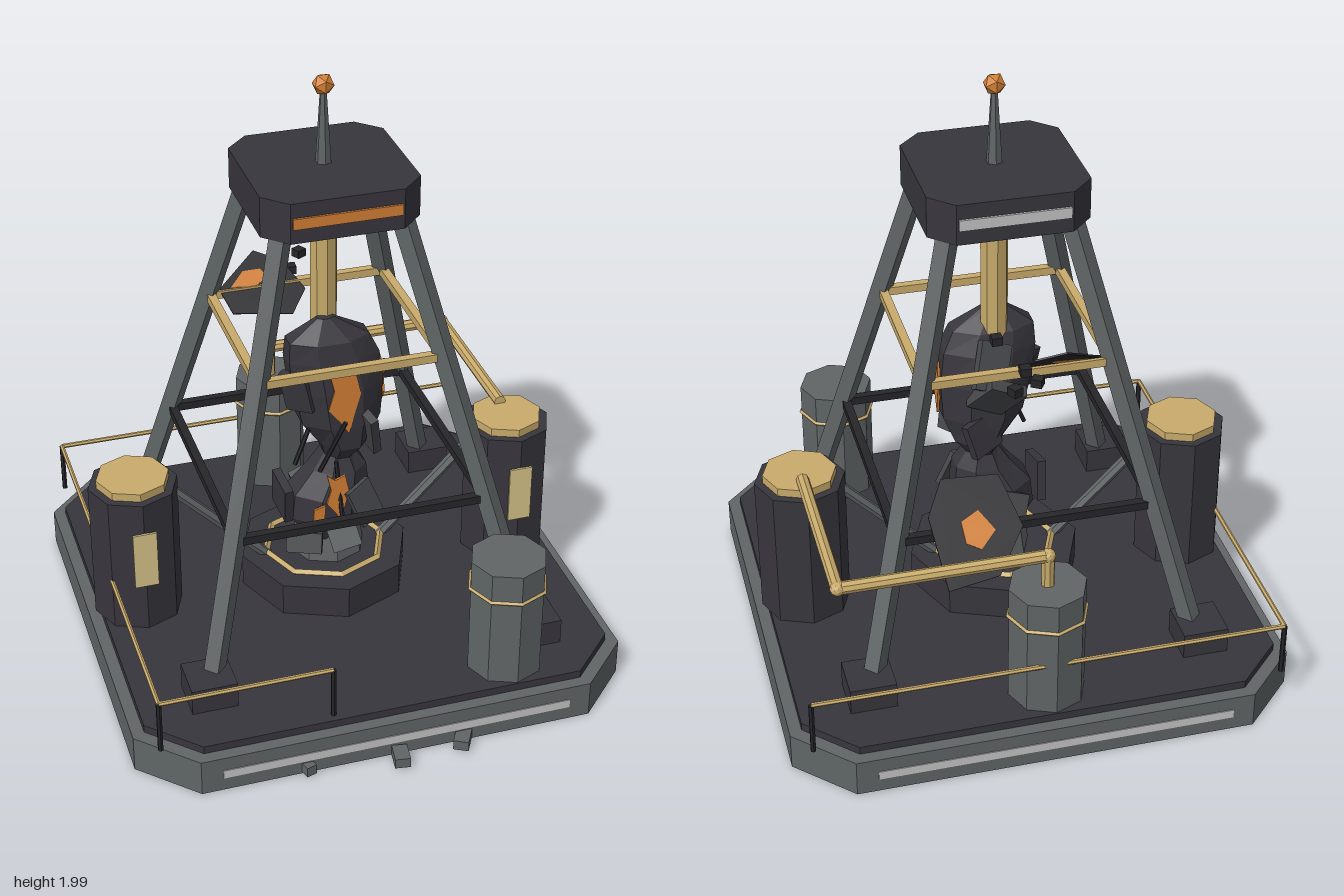
import * as THREE from 'three';

const mat = (name, color) => {
  const m = new THREE.MeshStandardMaterial({ color });
  m.name = name;
  return m;
};
const CZ = -0.04; // centre of the rig along z

export function createModel() {
  const root = new THREE.Group();
  root.name = 'ritualRig';
  const charcoal = mat('charcoal', 0x38363d);
  const black = mat('black', 0x26262a);
  const steel = mat('steel', 0x606566);
  const gold = mat('gold', 0xc9ab6b);
  const glass = mat('paleGold', 0xd6c288);
  const orange = mat('orange', 0xd27f35);
  const pale = mat('paleGrey', 0xc4c4c4);
  const shardGrey = mat('shardGrey', 0x47484b);

  // faceted mesh helper
  const add = (name, geo, material, x = 0, y = 0, z = 0) => {
    const g = geo.index ? geo.toNonIndexed() : geo;
    g.computeVertexNormals();
    const m = new THREE.Mesh(g, material);
    m.name = name;
    m.position.set(x, y, z);
    root.add(m);
    return m;
  };
  const box = (name, w, h, d, material, x, y, z) =>
    add(name, new THREE.BoxGeometry(w, h, d), material, x, y, z);
  const cyl = (name, rTop, rBottom, y0, y1, material, x, z, sides = 8) =>
    add(name, new THREE.CylinderGeometry(rTop, rBottom, y1 - y0, sides), material, x, (y0 + y1) / 2, z);
  // square beam between two points
  const beam = (name, a, b, t, material) => {
    const p = new THREE.Vector3(...a), q = new THREE.Vector3(...b);
    const m = box(name, t, t, p.distanceTo(q), material, ...p.clone().add(q).multiplyScalar(0.5).toArray());
    m.lookAt(q);
    return m;
  };
  // round rod between two points
  const rod = (name, a, b, r, material, sides = 6) => {
    const p = new THREE.Vector3(...a), q = new THREE.Vector3(...b);
    const m = add(name, new THREE.CylinderGeometry(r, r, p.distanceTo(q), sides), material);
    m.position.copy(p).add(q).multiplyScalar(0.5);
    m.quaternion.setFromUnitVectors(new THREE.Vector3(0, 1, 0), q.sub(p).normalize());
    return m;
  };
  const shape = (pts) => new THREE.Shape(pts.map(([x, y]) => new THREE.Vector2(x, y)));
  const plate = (name, pts, depth, material, x, y, z) =>
    add(name, new THREE.ExtrudeGeometry(shape(pts), { depth, bevelEnabled: false }), material, x, y, z);
  // square slab with cut corners
  const slab = (name, h, c, y0, y1, material) => {
    const k = h - c;
    const pts = [[h, -k], [h, k], [k, h], [-k, h], [-h, k], [-h, -k], [-k, -h], [k, -h]];
    plate(name, pts, y1 - y0, material, 0, y0, CZ).rotation.x = -Math.PI / 2;
  };

  // platform
  slab('base', 0.825, 0.175, 0, 0.125, steel);
  slab('deck', 0.785, 0.155, 0.125, 0.152, charcoal);
  box('baseStripFront', 1.16, 0.03, 0.006, pale, 0, 0.062, CZ + 0.825);
  box('baseStripBack', 1.16, 0.03, 0.006, pale, 0, 0.062, CZ - 0.825);
  [[-0.31, 0.035, 0.775, 0.3], [-0.01, 0.05, 0.825, -0.15], [0.205, 0.05, 0.805, -0.5]].forEach(([x, w, z, r]) => {
    box('rubble', w, 0.035, 0.07, steel, x, 0.022, z).rotation.y = r;
  });

  // four leaning legs on foot blocks
  for (const sx of [-1, 1]) for (const sz of [-1, 1]) {
    box('foot', 0.15, 0.09, 0.15, charcoal, sx * 0.55, 0.195, CZ + sz * 0.55);
    beam('leg', [sx * 0.535, 0.19, CZ + sz * 0.535], [sx * 0.19, 1.6, CZ + sz * 0.19], 0.052, steel);
  }

  // square bracing rings between the legs
  const braceRing = (name, h, y, t, material) => {
    for (const s of [-1, 1]) {
      beam(name, [-h, y, CZ + s * h], [h, y, CZ + s * h], t, material);
      beam(name, [s * h, y, CZ - h], [s * h, y, CZ + h], t, material);
    }
  };
  braceRing('upperBrace', 0.302, 1.125, 0.028, gold);
  braceRing('lowerBrace', 0.42, 0.64, 0.028, black);

  // head block, mast and beacon
  slab('headBlock', 0.257, 0.075, 1.57, 1.705, charcoal);
  box('headStripFront', 0.35, 0.036, 0.009, orange, 0, 1.638, CZ + 0.26);
  box('headStripBack', 0.35, 0.036, 0.009, pale, 0, 1.638, CZ - 0.26);
  cyl('mast', 0.011, 0.026, 1.7, 1.94, steel, 0, CZ, 6);
  add('beacon', new THREE.IcosahedronGeometry(0.036, 0), orange, 0, 1.964, CZ);
  cyl('piston', 0.045, 0.045, 1.08, 1.58, gold, 0, CZ, 8);

  // side tanks with gold lids, sight plates and struts
  for (const s of [-1, 1]) {
    cyl('sideTank', 0.15, 0.15, 0.15, 0.64, charcoal, s * 0.655, CZ);
    cyl('sideTankLid', 0.122, 0.122, 0.64, 0.668, gold, s * 0.655, CZ);
    box('sightPlate', 0.08, 0.205, 0.008, glass, s * 0.655, 0.432, 0.114);
    rod('strut', [s * 0.52, 0.58, CZ], [s * 0.19, 0.245, CZ], 0.018, steel);
  }

  // banded grey tanks
  for (const [x, z] of [[0.413, 0.615], [-0.003, -0.695]]) {
    cyl('drum', 0.126, 0.126, 0.15, 0.567, steel, x, z);
    const band = new THREE.TorusGeometry(0.127, 0.007, 4, 8);
    band.rotateX(Math.PI / 2);
    add('drumBand', band, gold, x, 0.465, z);
  }

  // feed pipe
  const pipe = [[-0.003, 0.54, -0.695], [-0.003, 0.675, -0.695], [0.655, 0.675, -0.695], [0.655, 0.675, -0.1]];
  for (let i = 0; i < 3; i++) rod('feedPipe', pipe[i], pipe[i + 1], 0.021, gold, 8);
  for (const p of pipe.slice(1, 3)) add('pipeElbow', new THREE.IcosahedronGeometry(0.024, 1), gold, ...p);

  // railing
  const rail = [[-0.2, 0.715], [-0.76, 0.715], [-0.76, -0.8], [0.77, -0.8]];
  rail.forEach(([x, z], i) => {
    cyl('railPost', 0.009, 0.009, 0.15, 0.33, black, x, z, 6);
    if (i) rod('rail', [rail[i - 1][0], 0.33, rail[i - 1][1]], [x, 0.33, z], 0.008, gold);
  });

  // central dais
  cyl('dais', 0.29, 0.29, 0.15, 0.265, charcoal, 0, CZ);
  const trim = new THREE.TorusGeometry(0.205, 0.012, 4, 8);
  trim.rotateX(Math.PI / 2);
  add('daisTrim', trim, gold, 0, 0.268, CZ);
  cyl('pedestal', 0.11, 0.13, 0.26, 0.39, steel, 0.01, CZ);

  // faceted rock from stacked sections [y, cx, cz, rx, rz]
  const rock = (name, sections, material) => {
    const n = 8, pos = [], idx = [];
    for (const [y, cx, cz, rx, rz] of sections) for (let i = 0; i < n; i++) {
      const a = ((i + 0.5) / n) * Math.PI * 2;
      pos.push(cx + Math.sin(a) * rx, y, cz + Math.cos(a) * rz);
    }
    for (let s = 0; s < sections.length - 1; s++) for (let i = 0; i < n; i++) {
      const a = s * n + i, b = s * n + (i + 1) % n;
      idx.push(a, b, b + n, a, b + n, a + n);
    }
    const top = (sections.length - 1) * n;
    for (let i = 1; i < n - 1; i++) idx.push(0, i + 1, i, top, top + i, top + i + 1);
    const g = new THREE.BufferGeometry();
    g.setAttribute('position', new THREE.Float32BufferAttribute(pos, 3));
    g.setIndex(idx);
    return add(name, g, material);
  };
  rock('upperRock', [
    [0.64, 0.04, -0.02, 0.05, 0.06], [0.71, 0.055, -0.015, 0.09, 0.11], [0.8, 0.04, -0.01, 0.145, 0.115],
    [0.93, 0.03, -0.01, 0.165, 0.115], [1.04, 0.015, -0.005, 0.165, 0.1], [1.11, 0.0, 0, 0.145, 0.08],
    [1.18, -0.01, 0.005, 0.03, 0.02]], charcoal);
  rock('lowerRock', [
    [0.35, 0, -0.02, 0.09, 0.09], [0.43, 0, -0.02, 0.14, 0.12], [0.52, 0.01, -0.02, 0.14, 0.12],
    [0.6, 0.04, -0.02, 0.1, 0.09], [0.67, 0.04, -0.02, 0.05, 0.06]], charcoal);

  // glowing cracks
  const crack = [[-0.05, 0.13], [-0.01, 0.1], [0.04, 0.12], [0.06, 0.03], [0.04, -0.04], [0.02, -0.12],
    [-0.01, -0.07], [-0.05, -0.02], [-0.03, 0.05]];
  plate('frontCrack', crack, 0.008, orange, 0.025, 0.9, 0.092);
  plate('sideCrack', crack.map(([x, y]) => [x * 0.7, y * 0.85]), 0.008, orange, 0.178, 0.9, 0.005).rotation.y = Math.PI / 2;
  plate('lowerCrack', crack.map(([x, y]) => [x * 0.7, y * 0.75]), 0.008, orange, 0.005, 0.53, 0.091);
  plate('lowCrack', [[-0.02, -0.04], [0.02, -0.03], [0.025, 0.04], [-0.015, 0.03]], 0.008, orange, -0.06, 0.47, 0.092);

  // loose slabs clinging to the rock: size, position, rotation
  [
    [[0.11, 0.16, 0.03], [0.03, 1.02, -0.13], [0.5, 0.3, 0.3], shardGrey],
    [[0.13, 0.16, 0.04], [0.02, 0.92, -0.15], [-0.6, -0.2, 0.4], shardGrey],
    [[0.12, 0.12, 0.03], [0.06, 0.76, -0.12], [0.3, 0.5, -0.3], charcoal],
    [[0.03, 0.17, 0.1], [0.12, 0.77, 0.065], [0.3, 0.3, 0.2], shardGrey],
    [[0.1, 0.14, 0.03], [-0.11, 0.93, 0.03], [0.2, -0.8, 0.3], charcoal],
    [[0.1, 0.14, 0.02], [0.1, 0.5, 0.1], [-0.3, 0.4, 0.4], shardGrey],
    [[0.1, 0.1, 0.03], [0.02, 0.4, 0.12], [-0.4, -0.2, 0.2], steel],
    [[0.12, 0.07, 0.03], [-0.11, 0.38, 0.1], [-0.4, -0.4, -0.15], shardGrey],
    [[0.03, 0.14, 0.12], [-0.15, 0.5, -0.02], [0.2, 0.1, 0.05], charcoal],
    [[0.13, 0.1, 0.03], [-0.02, 0.48, -0.15], [0.4, 0.2, 0.3], shardGrey],
  ].forEach(([size, p, r, m]) => box('shard', ...size, m, ...p).rotation.set(...r));

  // thin root-like cables
  rod('cable', [-0.13, 0.67, 0.06], [-0.08, 0.79, 0.05], 0.008, black);
  rod('cable', [-0.05, 0.64, 0.08], [0.03, 0.83, 0.108], 0.008, black);
  rod('cable', [0.02, 0.46, 0.11], [0.01, 0.66, 0.07], 0.008, black);

  // two floating tilted plates with glowing hearts
  const q = Math.SQRT2;
  const floating = (outline, heart, p, tilt) => {
    const a = plate('floatingPlate', outline, 0.006, black, ...p);
    const b = plate('floatingPlateHeart', heart, 0.009, orange, ...p);
    a.rotation.x = b.rotation.x = tilt;
  };
  floating(
    [[-0.15, 0.01], [-0.12, -0.08], [0.08, -0.11], [0.14, -0.03], [0.08, 0.08], [-0.01, 0.09 * q]],
    [[-0.11, 0.01], [-0.03, 0], [0.02, 0.03], [0, 0.06], [-0.06, 0.06]], [-0.12, 1.13, -0.335], -Math.PI / 4);
  floating(
    [[-0.145, 0.02], [-0.095, -0.155], [0.09, -0.165], [0.15, -0.05], [0.125, 0.19], [-0.045, 0.165]],
    [[-0.055, 0.02], [-0.01, -0.05], [0.05, -0.02], [0.045, 0.05], [0, 0.075]], [0.165, 0.655, -0.467], -Math.PI * 0.75);

  // drifting fragments
  [[0.03, 1.155, -0.185], [0.05, 1.155, -0.49], [-0.03, 1.155, -0.455], [-0.01, 1.155, -0.385]].forEach((p, i) => {
    box('fragment', 0.035, 0.028, 0.035, black, ...p).rotation.y = i * 0.5;
  });

  return root;
}
